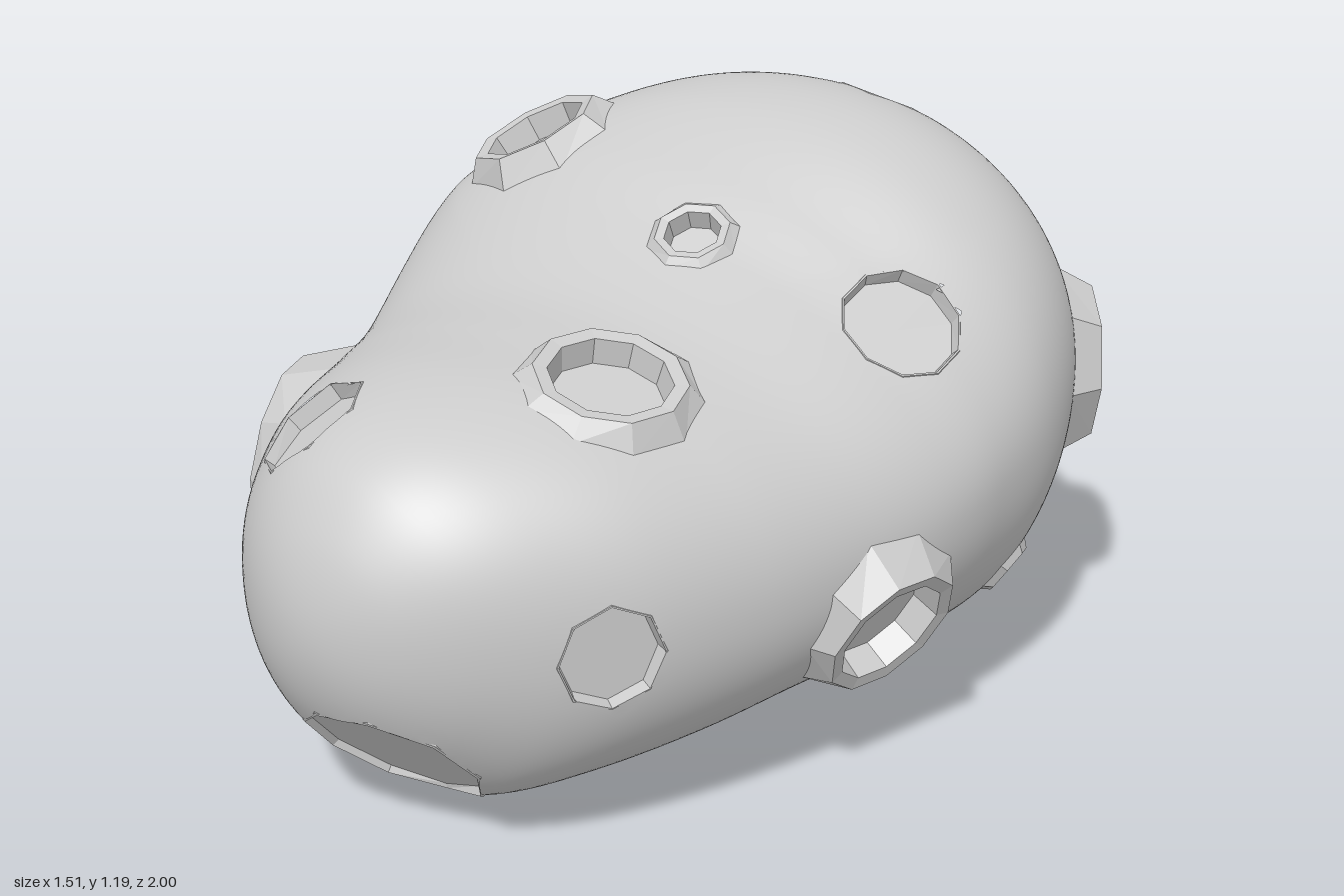
import * as THREE from 'three';
import { mergeVertices } from 'three/addons/utils/BufferGeometryUtils.js';

// Body cross-sections along z: [z, half width, top y, bottom y]
const SECTIONS = [
  [-1, 0, 0.62, 0.62], [-0.97, 0.27, 0.86, 0.37], [-0.9, 0.42, 0.98, 0.27], [-0.8, 0.54, 1.08, 0.17],
  [-0.6, 0.675, 1.185, 0.07], [-0.37, 0.745, 1.18, 0.005], [-0.15, 0.748, 1.085, 0.03], [0, 0.725, 0.995, 0.06],
  [0.2, 0.66, 0.905, 0.07], [0.4, 0.59, 0.875, 0.06], [0.6, 0.5, 0.86, 0.06], [0.75, 0.4, 0.83, 0.08],
  [0.87, 0.29, 0.77, 0.18], [0.95, 0.18, 0.67, 0.29], [1, 0, 0.48, 0.48],
];
// Interpolated columns: squared half width, middle y, squared half height
const COLUMNS = SECTIONS.map(([z, w, t, b]) => [z, w * w, (t + b) / 2, ((t - b) / 2) ** 2]);
const CENTRE = new THREE.Vector3(0, 0.55, 0);

function slope(i, k) {
  const a = COLUMNS[Math.max(i - 1, 0)], b = COLUMNS[Math.min(i + 1, COLUMNS.length - 1)];
  return (b[k] - a[k]) / (b[0] - a[0]);
}

function sectionAt(z) {
  let i = 0;
  while (i < COLUMNS.length - 2 && z > COLUMNS[i + 1][0]) i++;
  const a = COLUMNS[i], b = COLUMNS[i + 1], d = b[0] - a[0], t = (z - a[0]) / d;
  const t2 = t * t, t3 = t2 * t;
  return [1, 2, 3].map((k) => (2 * t3 - 3 * t2 + 1) * a[k] + (t3 - 2 * t2 + t) * d * slope(i, k)
    + (3 * t2 - 2 * t3) * b[k] + (t3 - t2) * d * slope(i + 1, k));
}

// Negative inside the body, positive outside; the neck's top leans down towards +x
function field(p) {
  if (Math.abs(p.z) >= 1) return 1;
  const [w2, mid, h2] = sectionAt(p.z);
  if (w2 < 1e-6 || h2 < 1e-6) return 1;
  const lean = 0.12 * p.x * Math.exp(-(((p.z + 0.12) / 0.22) ** 2)) * THREE.MathUtils.clamp((p.y - mid) / 0.4, 0, 1);
  return (p.x * p.x / w2) ** 1.06 + ((p.y + lean - mid) ** 2 / h2) ** 1.06 - 1;
}

// Distance along a ray at which the surface is crossed
function cross(origin, dir, lo, hi) {
  const p = new THREE.Vector3();
  for (let i = 0; i < 22; i++) {
    const m = (lo + hi) / 2;
    if (field(p.copy(origin).addScaledVector(dir, m)) < 0) lo = m; else hi = m;
  }
  return (lo + hi) / 2;
}

function project(p) {
  const dir = p.clone().sub(CENTRE).normalize();
  return dir.multiplyScalar(cross(CENTRE, dir, 0, 1.5)).add(CENTRE);
}

// Outward normal from nearby surface points
function normalAt(c) {
  const out = c.clone().sub(CENTRE).normalize();
  const u = new THREE.Vector3(0.31, 0.87, 0.38).cross(out).normalize();
  const v = out.clone().cross(u);
  const at = (d, s) => project(c.clone().addScaledVector(d, s));
  const e = 0.07;
  return at(u, e).sub(at(u, -e)).cross(at(v, e).sub(at(v, -e))).normalize();
}

// Craters: [x, y, z, hole radius, sides, rim height (0 = no rim), floor depth]
const CRATERS = [
  [-0.43, 1.08, -0.2, 0.115, 8, 0.04, 0.06],
  [0.115, 1.02, -0.02, 0.058, 8, 0.025, 0.045],
  [0.25, 0.86, 0.45, 0.118, 10, 0.035, 0.055],
  [-0.59, 0.52, 0.44, 0.155, 10, 0.04, 0.07],
  [-0.43, 0.82, -0.87, 0.125, 8, 0.045, 0.07],
  [0.57, 0.61, -0.755, 0.14, 8, 0.065, 0.08],
  [0.66, 0.36, 0.125, 0.12, 10, 0.05, 0.065],
  [0.68, 0.29, -0.37, 0.042, 7, 0.018, 0.04],
  [-0.16, 0.06, 0.33, 0.118, 8, 0.035, 0.06],
  [-0.47, 0.11, -0.36, 0.15, 9, 0.025, 0.06],
  [0.155, 1.13, -0.7, 0.122, 8, 0, 0.02],
  [0.53, 0.87, -0.115, 0.12, 10, 0, 0.02],
  [-0.21, 0.77, 0.74, 0.12, 7, 0, 0.02],
  [0.45, 0.45, 0.7, 0.1, 8, 0, 0.025],
  [0.05, 0.185, 0.84, 0.18, 9, 0, 0.004],
  [0.05, 0.09, -0.61, 0.24, 10, 0, 0.004],
  [0.34, 0.09, -0.11, 0.12, 8, 0, 0.025],
  [-0.01, 0.6, -0.99, 0.13, 8, 0, 0.02],
  [-0.73, 0.48, -0.36, 0.13, 8, 0, 0.02],
].map(([x, y, z, r, sides, rim, depth]) => {
  const c = project(new THREE.Vector3(x, y, z)), n = normalAt(c);
  const ref = Math.abs(n.y) > 0.8 ? new THREE.Vector3(0, 0, -1) : new THREE.Vector3(0, 1, 0);
  const u = ref.cross(n).normalize();
  return { c, n, u, v: n.clone().cross(u), r, sides, rim, depth };
});

// Smooth body with polygonal openings where the craters sit
function bodyGeometry() {
  let geo = new THREE.IcosahedronGeometry(1, 50);
  geo.deleteAttribute('normal');
  geo.deleteAttribute('uv');
  geo = mergeVertices(geo, 1e-4);
  const pos = geo.attributes.position, p = new THREE.Vector3(), snap = 0.011;
  for (let i = 0; i < pos.count; i++) {
    p.copy(project(p.fromBufferAttribute(pos, i).add(CENTRE)));
    for (const k of CRATERS) {
      const d = reach(k, p), edge = k.r * 1.02;
      if (Math.abs(d - edge) > snap) continue;
      const off = p.clone().sub(k.c), h = off.dot(k.n);
      off.addScaledVector(k.n, -h).multiplyScalar(edge / d).add(k.c);
      p.copy(off).addScaledVector(k.n, cross(off, k.n, -0.3, 0.3));
    }
    pos.setXYZ(i, p.x, p.y, p.z);
  }
  geo.computeVertexNormals();
  const idx = geo.index.array, kept = [], q = new THREE.Vector3();
  for (let i = 0; i < idx.length; i += 3) {
    p.set(0, 0, 0);
    for (let j = 0; j < 3; j++) p.add(q.fromBufferAttribute(pos, idx[i + j]));
    p.divideScalar(3);
    if (!CRATERS.some((k) => reach(k, p) < k.r * 1.02)) kept.push(idx[i], idx[i + 1], idx[i + 2]);
  }
  geo.setIndex(kept);
  return geo;
}

// Polygon radius of a point around a crater's axis
function reach(k, p) {
  const off = p.clone().sub(k.c);
  if (off.lengthSq() > 0.16) return Infinity;
  const x = off.dot(k.u), y = off.dot(k.v), step = 2 * Math.PI / k.sides;
  const a = (Math.atan2(y, x) + 2 * Math.PI) % step;
  return Math.hypot(x, y) * Math.cos(a - step / 2) / Math.cos(step / 2);
}

// Rings from the outer skirt, over the lip, down the wall to the flat floor
function craterGeometry(k) {
  const { r, sides, rim, depth } = k;
  const flat = (rad, a) => k.c.clone().addScaledVector(k.u, rad * Math.cos(a)).addScaledVector(k.v, rad * Math.sin(a));
  const ring = (rad, height) => Array.from({ length: sides }, (_, i) => {
    const q = flat(rad, i * 2 * Math.PI / sides);
    return q.addScaledVector(k.n, height(q));
  });
  const onBody = (lift) => (q) => cross(q, k.n, -0.3, 0.3) + lift;
  const level = (h) => () => h;
  const rings = [];
  let floor;
  if (rim) {
    const lip = rim * 0.65;
    floor = lip - depth;
    rings.push(ring(r * 1.4 + 0.02, onBody(-0.006)), ring(r * 1.15 + 0.01, level(lip)),
      ring(r, level(lip - 0.004)), ring(r * 0.93, level(floor)));
  } else {
    const edge = ring(r, onBody(0));
    floor = Math.min(...edge.map((q) => q.sub(k.c).dot(k.n))) - depth;
    rings.push(ring(r * 1.07, onBody(-0.006)), ring(r * 1.03, onBody(0.002)),
      ring(r, onBody(0.002)), ring(r * 0.95, level(floor)));
  }
  rings.push(ring(0, level(floor)));
  const verts = [];
  const tri = (...pts) => pts.forEach((q) => verts.push(q.x, q.y, q.z));
  for (let j = 0; j < rings.length - 1; j++) {
    const a = rings[j], b = rings[j + 1];
    for (let i = 0; i < sides; i++) {
      const m = (i + 1) % sides;
      tri(a[i], a[m], b[m]);
      if (j < rings.length - 2) tri(a[i], b[m], b[i]);
    }
  }
  const geo = new THREE.BufferGeometry();
  geo.setAttribute('position', new THREE.Float32BufferAttribute(verts, 3));
  geo.computeVertexNormals();
  return geo;
}

export function createModel() {
  const group = new THREE.Group();
  group.name = 'asteroid';
  const body = new THREE.Mesh(bodyGeometry(), new THREE.MeshStandardMaterial({ color: 0xcccccc }));
  body.name = 'body';
  group.add(body);
  const stone = new THREE.MeshStandardMaterial({ color: 0xcccccc, flatShading: true });
  CRATERS.forEach((k, i) => {
    const mesh = new THREE.Mesh(craterGeometry(k), stone);
    mesh.name = (k.rim ? 'raisedCrater' : 'shallowCrater') + (i + 1);
    group.add(mesh);
  });
  return group;
}
